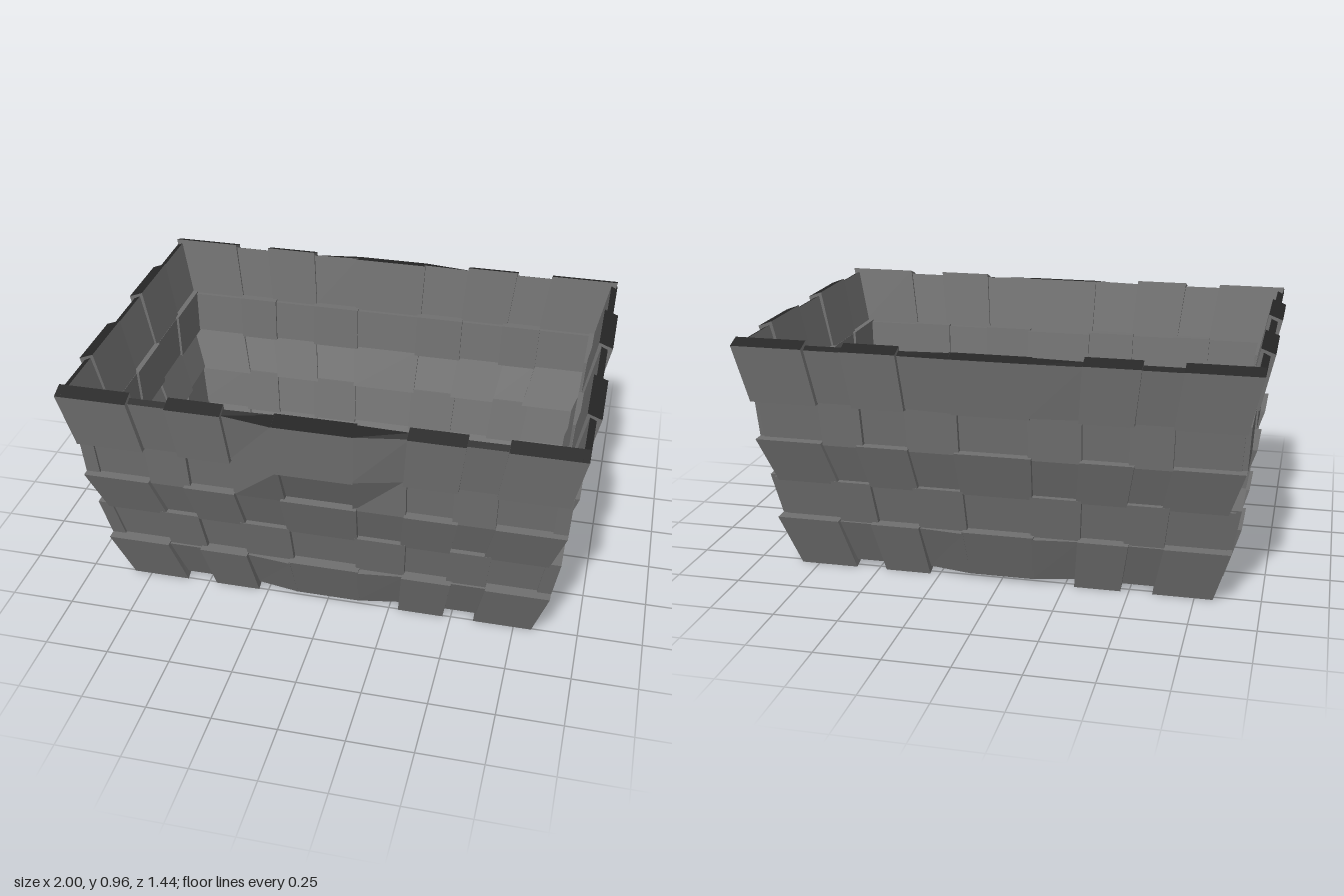
import * as THREE from 'three';

// Row heights, and outer half-extents [bottom, top] of the raised strips per row
const LEVELS = [0.025, 0.21, 0.38, 0.55, 0.72, 0.93];
const HALF_X = [[0.84, 0.905], [0.884, 0.915], [0.89, 0.95], [0.93, 0.94], [0.95, 1.0]];
const HALF_Z = [[0.515, 0.585], [0.554, 0.595], [0.59, 0.65], [0.63, 0.65], [0.675, 0.71]];
// Column edges as fractions of the half-width
const LONG_COLS = [-1, -0.71, -0.55, -0.35, -0.148, 0.148, 0.35, 0.55, 0.71, 1];
const SHORT_COLS = [-1, -0.57, -0.185, 0.185, 0.57, 1];
// Raised strips stand proud of the sunken ones on both faces and overlap them a little
const RAISED_THICK = 0.055, SUNKEN_THICK = 0.025, STEP = 0.02, LAP = 0.006;

function quad(list, a, b, c, d) {
  for (const p of [a, b, c, a, c, d]) list.push(...p);
}

function flatMesh(list, material, name) {
  const g = new THREE.BufferGeometry();
  g.setAttribute('position', new THREE.Float32BufferAttribute(list, 3));
  g.computeVertexNormals();
  const mesh = new THREE.Mesh(g, material);
  mesh.name = name;
  return mesh;
}

// One woven wall facing +z: a checkerboard of raised and sunken strips
function makeWall({ name, cols, depth, width, parity, shift, long = false, bulge = 0 }, body, edge) {
  const strips = [], rim = [];
  const last = cols.length - 1, mid = (last - 1) / 2;
  for (let r = 0; r < 5; r++) {
    for (let c = 0; c < last; c++) {
      const raised = (r + c) % 2 === parity;
      const tall = raised && !(long && c === mid);
      const corner = (side, top, inner) => {
        const e = c + side;
        const central = long && Math.abs(cols[e]) < 0.2;
        let d = depth[r][top] + shift - (raised ? 0 : STEP);
        if (inner) {
          d -= raised ? RAISED_THICK : SUNKEN_THICK;
          // the hollow in the front pushes a bump into the inside
          if (bulge && r === 3 && c === mid) d -= 0.02;
        } else if (central) {
          // the end rows run smoothly from the sunken strip to the raised centre
          if (!raised && (r === 0 || r === 4)) d += STEP;
          // the centre of the top row bulges, and the row below leans out to meet it
          if (r === 4) d += bulge * (top ? 0.7 : 1);
          if (r === 3 && top) d += bulge * 1.9;
        }
        let y = LEVELS[r + top];
        if (r === 0 && !top) {
          if (tall) y = inner ? 0.018 : 0;
          else if (central) y -= 0.008;
        } else if (r === 4 && top) {
          if (tall) y = inner ? 0.958 : 0.937;
          else y += (inner ? 0.012 : 0) + (central ? 0.004 : 0);
        } else if (raised) y += top ? LAP : -LAP;
        let u = cols[e] * width[r][top];
        if (e === 0) u += STEP;
        else if (e === last) u -= STEP;
        else if (raised) u += side ? LAP : -LAP;
        return [u, y, d];
      };
      const ring = inner => [corner(0, 0, inner), corner(1, 0, inner), corner(1, 1, inner), corner(0, 1, inner)];
      const o = ring(false), i = ring(true);
      quad(strips, o[0], o[1], o[2], o[3]);
      quad(strips, i[1], i[0], i[3], i[2]);
      quad(strips, i[0], o[0], o[3], i[3]);
      quad(strips, o[1], i[1], i[2], o[2]);
      quad(r === 4 ? rim : strips, o[3], o[2], i[2], i[3]);
      quad(r === 0 ? rim : strips, i[0], i[1], o[1], o[0]);
    }
  }
  const wall = new THREE.Group();
  wall.name = name;
  wall.add(flatMesh(strips, body, name + 'Strips'), flatMesh(rim, edge, name + 'Rims'));
  return wall;
}

export function createModel() {
  const body = new THREE.MeshStandardMaterial({ color: 0x707070 });
  body.name = 'wovenGrey';
  const edge = new THREE.MeshStandardMaterial({ color: 0x262626 });
  edge.name = 'rimDarkGrey';

  const basket = new THREE.Group();
  basket.name = 'wovenBasket';
  const longWall = { cols: LONG_COLS, depth: HALF_Z, width: HALF_X, parity: 0, long: true };
  const shortWall = { cols: SHORT_COLS, depth: HALF_X, width: HALF_Z, parity: 1, shift: 0 };

  const front = makeWall({ ...longWall, name: 'frontWall', shift: -0.01, bulge: 0.03 }, body, edge);
  const back = makeWall({ ...longWall, name: 'backWall', shift: 0.01 }, body, edge);
  back.rotation.y = Math.PI;
  const left = makeWall({ ...shortWall, name: 'leftWall' }, body, edge);
  left.rotation.y = Math.PI / 2;
  const right = makeWall({ ...shortWall, name: 'rightWall' }, body, edge);
  right.rotation.y = -Math.PI / 2;

  basket.add(front, back, left, right);
  return basket;
}
